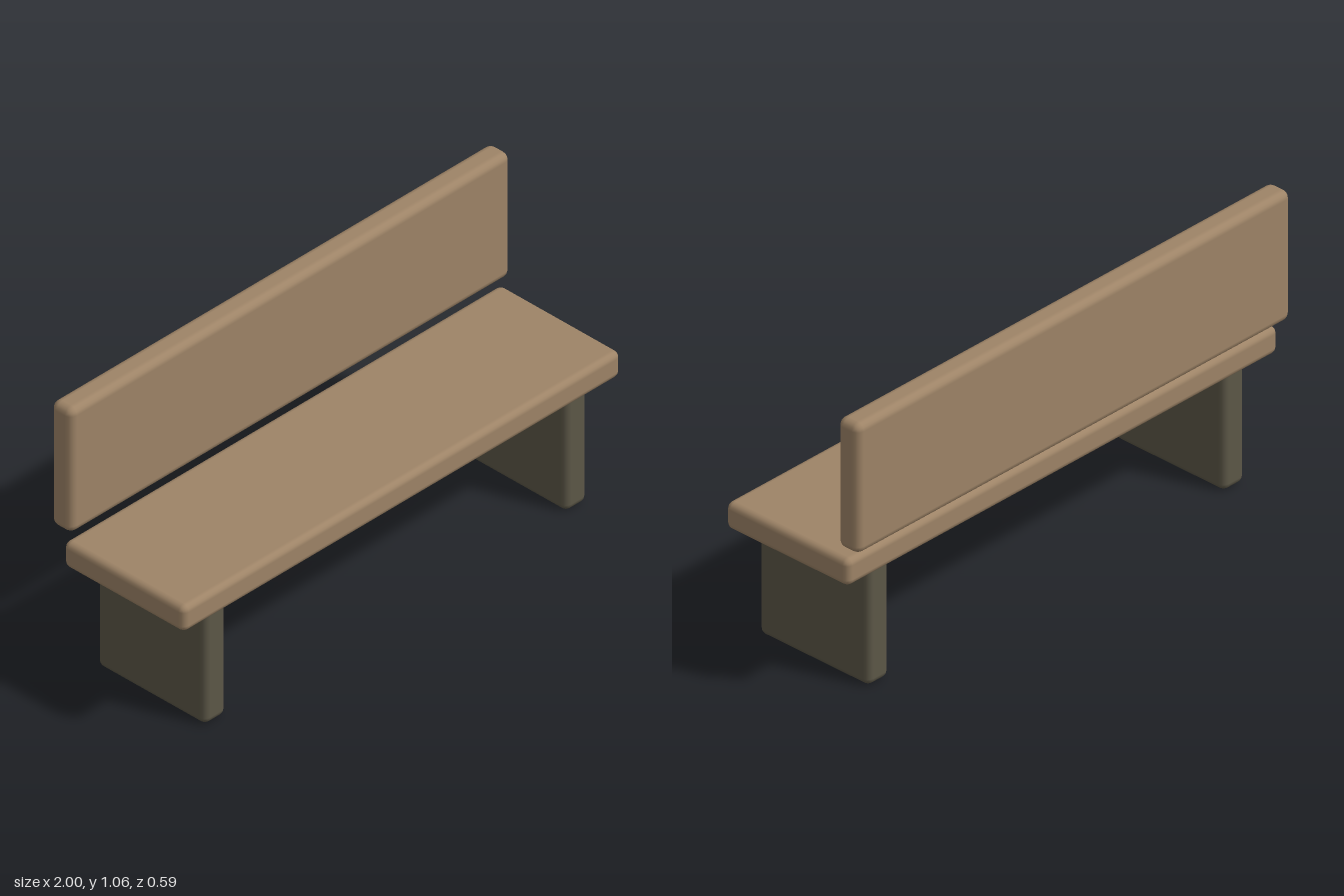
import * as THREE from 'three';
import { RoundedBoxGeometry } from 'three/addons/geometries/RoundedBoxGeometry.js';

export function createModel() {
  const bench = new THREE.Group();
  bench.name = 'bench';

  const wood = new THREE.MeshStandardMaterial({ color: 0x9e8467 });
  wood.name = 'wood';
  const darkSupport = new THREE.MeshStandardMaterial({ color: 0x5c5747 });
  darkSupport.name = 'dark support';

  // Softly rounded slab given by its min and max corners
  function slab(name, material, min, max, radius) {
    const size = max.map((v, i) => v - min[i]);
    const mesh = new THREE.Mesh(new RoundedBoxGeometry(...size, 2, radius), material);
    mesh.position.set(...max.map((v, i) => (v + min[i]) / 2));
    mesh.name = name;
    bench.add(mesh);
  }

  // Seat and the backrest floating behind it
  slab('seat', wood, [-0.994, 0.435, -0.242], [0.994, 0.535, 0.295], 0.024);
  slab('backrest', wood, [-1, 0.577, -0.293], [1, 1.06, -0.2], 0.028);

  // Slab legs, tucked slightly into the seat
  for (const [name, x] of [['leftLeg', 0.82], ['rightLeg', -0.82]]) {
    slab(name, darkSupport, [x - 0.049, 0, -0.214], [x + 0.049, 0.47, 0.267], 0.024);
  }

  return bench;
}
